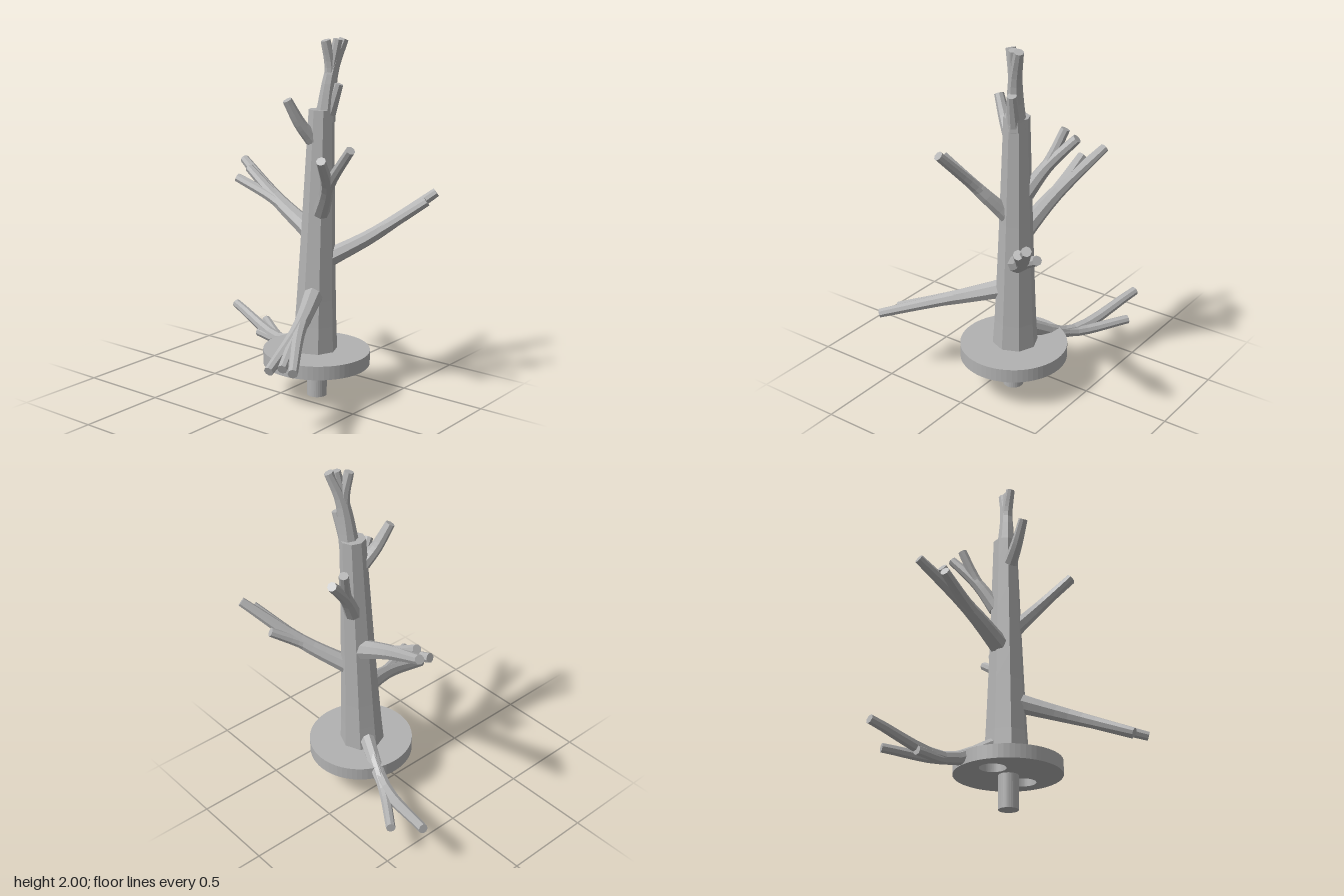
import * as THREE from 'three';

const bark = new THREE.MeshStandardMaterial({ color: 0xb2b2b2, flatShading: true });
bark.name = 'plain grey';

// Centre line of the slightly leaning trunk at a given height
const TRUNK_BASE = new THREE.Vector3(0.118, 0.268, 0.15);
const TRUNK_TOP = new THREE.Vector3(0.14, 1.61, 0.167);
const trunkAt = (y) => TRUNK_BASE.clone().lerp(TRUNK_TOP, (y - TRUNK_BASE.y) / (TRUNK_TOP.y - TRUNK_BASE.y));

// Tapered limb with closed ends, swept along a smooth path
function limb(name, points, r0, r1, sides = 8) {
  const curve = new THREE.CatmullRomCurve3(points, false, 'centripetal');
  const seg = points.length * 3;
  const rings = seg + 2;
  const geo = new THREE.TubeGeometry(curve, rings, 1, sides);
  const pos = geo.attributes.position, nor = geo.attributes.normal;
  const p = new THREE.Vector3();
  for (let i = 0; i <= rings; i++) {
    const t = THREE.MathUtils.clamp((i - 1) / seg, 0, 1);
    const c = curve.getPointAt(t);
    // the first and last rings collapse to a point and close the end
    const r = i === 0 || i === rings ? 0 : r0 + (r1 - r0) * Math.pow(t, 0.8);
    for (let j = 0; j <= sides; j++) {
      const k = i * (sides + 1) + j;
      p.fromBufferAttribute(nor, k).multiplyScalar(r).add(c);
      pos.setXYZ(k, p.x, p.y, p.z);
    }
  }
  const mesh = new THREE.Mesh(geo, bark);
  mesh.name = name;
  return mesh;
}

// Branch: leaves the trunk at a height, forks part way and ends in one or more tips
function branch(name, height, radius, tipPoints, { fork = 0.45, sag = 0 } = {}) {
  const group = new THREE.Group();
  group.name = name;
  const tips = tipPoints.map((t) => new THREE.Vector3(...t));
  const mean = tips.reduce((sum, t) => sum.add(t), new THREE.Vector3()).divideScalar(tips.length);

  // root lies just under the bark on the side facing the tips
  const root = trunkAt(height);
  const out = mean.clone().sub(root).setY(0);
  root.add(out.setLength(Math.min(0.055, out.length() * 0.25)));

  const forkPoint = root.clone().lerp(mean, fork);
  forkPoint.y -= sag;
  tips.forEach((tip, i) => {
    const knee = forkPoint.clone().lerp(tip, i === 0 ? 0.05 : 0.12);
    const start = i === 0 ? root : root.clone().lerp(forkPoint, 0.4);
    const r = i === 0 ? radius : radius * 0.75;
    group.add(limb(i === 0 ? 'mainStem' : 'sideShoot', [start, knee, tip], r, 0.026));
  });
  return group;
}

export function createModel() {
  const model = new THREE.Group();
  model.name = 'bareTree';
  const add = (name, geo, x, y, z) => {
    const mesh = new THREE.Mesh(geo, bark);
    mesh.name = name;
    mesh.position.set(x, y, z);
    model.add(mesh);
  };

  // Round base with two sockets open underneath
  const shape = new THREE.Shape().absarc(0, 0, 0.298, 0, Math.PI * 2);
  for (const s of [-1, 1]) {
    shape.holes.push(new THREE.Path().absarc(0, s * 0.15, 0.073, 0, Math.PI * 2, true));
  }
  const plate = new THREE.ExtrudeGeometry(shape, { depth: 0.077, bevelEnabled: false, curveSegments: 32 });
  add('basePlate', plate.rotateX(-Math.PI / 2), 0.117, 0.19, 0.162);
  add('basePlateTop', new THREE.CircleGeometry(0.298, 64).rotateX(-Math.PI / 2), 0.117, 0.27, 0.162);

  // Mounting peg
  add('peg', new THREE.CylinderGeometry(0.056, 0.056, 0.2, 32), 0.117, 0.1, 0.166);

  // Faceted trunk
  model.add(limb('trunk', [TRUNK_BASE, trunkAt(0.9), TRUNK_TOP], 0.126, 0.07));

  // Branches, from the lowest to the crown
  model.add(
    branch('lowBackBranch', 0.35, 0.046, [[0.4, 0.305, -0.675], [0.465, 0.22, -0.49], [0.3, 0.2, -0.41]], { sag: 0.1 }),
    branch('lowerRightBranch', 0.6, 0.058, [[-0.545, 0.365, 0.36], [-0.55, 0.39, 0.52], [-0.51, 0.38, 0.42]]),
    branch('lowerLeftBranch', 0.785, 0.054, [[0.543, 1.155, 0.65], [0.48, 1.11, 0.63], [0.485, 1.015, 0.475]], { sag: 0.02 }),
    branch('backBranch', 0.93, 0.058, [[0.27, 1.25, -0.49], [0.14, 1.165, -0.43], [0.19, 1.22, -0.385]]),
    branch('middleRightBranch', 1.06, 0.048, [[-0.165, 1.395, 0.395], [-0.09, 1.455, 0.525]]),
    branch('upperLeftBranch', 1.18, 0.047, [[0.41, 1.5, 0.015], [0.335, 1.535, 0.01]]),
    branch('upperRightBranch', 1.45, 0.042, [[-0.04, 1.67, 0.075]], { sag: 0.02 }),
    branch('crownTwig', 1.52, 0.042, [[0.172, 1.75, 0.255]]),
    branch('crown', 1.55, 0.058, [[0.215, 1.985, 0.255], [0.126, 1.98, 0.2], [0.176, 1.985, 0.245]], { fork: 0.6 }),
  );
  return model;
}
